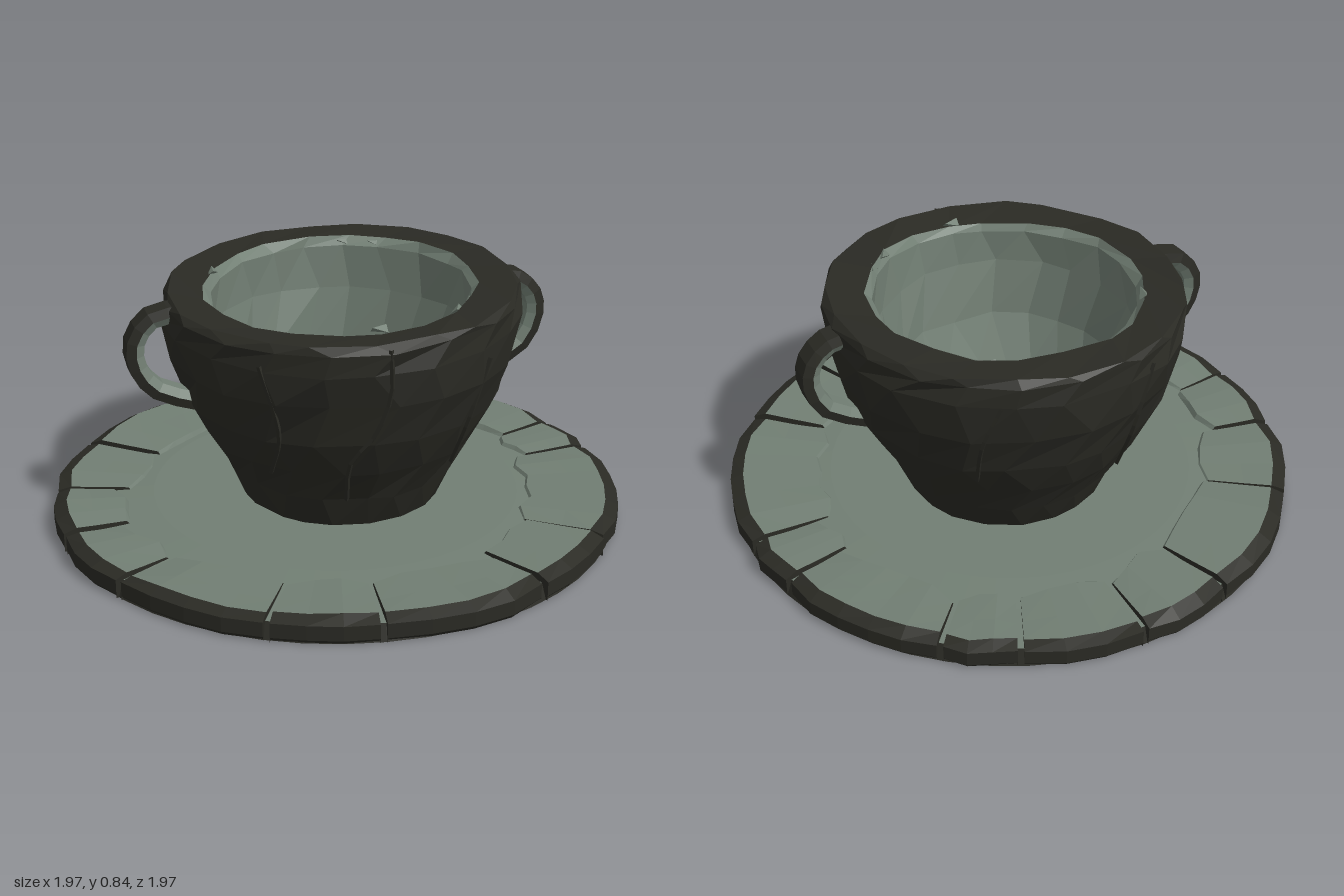
import * as THREE from 'three';

const DARK = 0x2a2a24, SAGE = 0x717e73;
const mat = (color, side = THREE.FrontSide) =>
  new THREE.MeshStandardMaterial({ color, flatShading: true, side });

// small seeded generator, returns -1..1
let seed = 7;
const rnd = () => {
  seed = (seed * 16807) % 2147483647;
  return (seed / 2147483647) * 2 - 1;
};
const polar = (r, a, y, cx = 0, cz = 0) =>
  new THREE.Vector3(cx + r * Math.cos(a), y, cz + r * Math.sin(a));

// skin a list of equally long rows of points
function skin(rows, name, color, closed = false, side = THREE.FrontSide) {
  const n = rows[0].length, pos = [], idx = [];
  rows.forEach(row => row.forEach(p => pos.push(p.x, p.y, p.z)));
  for (let i = 0; i < rows.length - 1; i++)
    for (let j = 0; j < (closed ? n : n - 1); j++) {
      const a = i * n + j, b = i * n + (j + 1) % n, c = a + n, d = b + n;
      idx.push(a, c, b, b, c, d);
    }
  const indexed = new THREE.BufferGeometry();
  indexed.setAttribute('position', new THREE.Float32BufferAttribute(pos, 3));
  indexed.setIndex(idx);
  const geometry = indexed.toNonIndexed();
  geometry.computeVertexNormals();
  const mesh = new THREE.Mesh(geometry, mat(color, side));
  mesh.name = name;
  return mesh;
}

// cup: rough hewn rings around a slightly offset axis
const CX = 0.025, CZ = -0.015, SIDES = 20;
function ring(r, y, wobble, shift = 0) {
  return Array.from({ length: SIDES }, (_, k) => {
    const a = ((k + shift + rnd() * 0.18) / SIDES) * Math.PI * 2;
    const tilt = y > 0.7 ? 0.015 * Math.cos(a) - 0.013 * Math.sin(a) : 0;
    return polar(r + rnd() * wobble, a, y + tilt + rnd() * wobble * 0.6, CX, CZ);
  });
}

function buildCup() {
  const cup = new THREE.Group();
  cup.name = 'cup';
  const wall = [[0.345, 0.075], [0.4, 0.2], [0.475, 0.33], [0.545, 0.46], [0.59, 0.61],
    [0.61, 0.74], [0.607, 0.81], [0.592, 0.833]].map(([r, y], i) =>
    ring(r, y, i ? 0.008 : 0.003, (i % 2) * 0.35));
  const lip = ring(0.468, 0.828, 0.01);
  cup.add(skin([...wall, lip], 'cupWall', DARK, true));
  const inside = [[0.45, 0.8], [0.44, 0.66], [0.4, 0.46], [0.335, 0.3], [0.25, 0.21], [0, 0.19]]
    .map(([r, y], i) => ring(r, y, r ? 0.009 : 0, (i % 2) * 0.35));
  cup.add(skin([lip, ...inside], 'cupInside', SAGE, true));

  // raised cracks running down the wall: [angle, height] points
  const radiusAt = y => 0.345 + 0.267 * Math.sin(Math.min(1, (y - 0.075) / 0.66) * Math.PI / 2 * 0.98);
  const cracks = [
    [[1.61, 0.81], [1.6, 0.66], [1.68, 0.5], [1.8, 0.4], [1.82, 0.22]],
    [[2.3, 0.74], [2.22, 0.5], [2.35, 0.32]],
    [[0.95, 0.7], [1.02, 0.48], [0.98, 0.3]],
    [[-1.1, 0.76], [-1.0, 0.6], [-0.95, 0.42]],
    [[-2.0, 0.78], [-1.92, 0.55], [-1.98, 0.33]],
  ];
  cracks.forEach(points => {
    const path = new THREE.CatmullRomCurve3(points.map(([a, y]) =>
      polar(radiusAt(y) - 0.004, a, y, CX, CZ)));
    const crack = new THREE.Mesh(new THREE.TubeGeometry(path, 10, 0.008, 4), mat(DARK));
    crack.name = 'cupCrack';
    cup.add(crack);
  });

  // broken chips along the inner lip
  [-1.25, -1.0, -0.75, 0.7, 0.9, 1.6, 3.7].forEach(a => {
    const chip = new THREE.Mesh(new THREE.TetrahedronGeometry(0.035), mat(SAGE));
    chip.name = 'lipChip';
    chip.position.copy(polar(0.46, a, 0.825, CX, CZ));
    chip.scale.set(0.6, 0.5, 1.3);
    chip.rotation.y = -a;
    cup.add(chip);
  });
  return cup;
}

// handle: dark outer half and pale inner half swept along a path in the xy plane
function buildHandle(name, points, z) {
  const handle = new THREE.Group();
  handle.name = name;
  const path = new THREE.CatmullRomCurve3(points.map(([x, y]) => new THREE.Vector3(x, y, z)));
  const steps = 10;
  const rail = (out, w) => Array.from({ length: steps + 1 }, (_, k) => {
    const p = path.getPoint(k / steps), t = path.getTangent(k / steps);
    return p.add(new THREE.Vector3(-t.y * out, t.x * out, w));
  });
  const [mBack, oBack, oFront, mFront, iFront, iBack] = [[0, -0.046], [0.033, -0.036],
    [0.033, 0.036], [0, 0.046], [-0.028, 0.028], [-0.028, -0.028]].map(([o, w]) => rail(o, w));
  handle.add(skin([mBack, oBack, oFront, mFront], 'handleOutside', DARK));
  handle.add(skin([mFront, iFront, iBack, mBack], 'handleInside', SAGE));
  return handle;
}

// saucer: a round plate edged with separate stones
function buildStone(start, end, inner) {
  const stone = new THREE.Group();
  stone.name = 'rimStone';
  const a0 = THREE.MathUtils.degToRad(start) + 0.011, a1 = THREE.MathUtils.degToRad(end) - 0.011;
  const n = Math.max(3, Math.round((a1 - a0) / 0.13));
  const lift = rnd() * 0.006;
  const cols = Array.from({ length: n + 1 }, (_, k) => {
    const tip = k === 0 || k === n, a = a0 + (a1 - a0) * k / n;
    const R = 0.989 + rnd() * 0.008 - (tip ? 0.012 : 0);
    const rin = inner + rnd() * 0.02 + (tip ? 0.035 : 0);
    const top = 0.1 + lift + rnd() * 0.003 - (tip ? 0.006 : 0);
    return [[R - 0.012, 0.015], [R, 0.03], [R, 0.08], [R - 0.045, top],
      [(R + rin) / 2, top - 0.004], [rin + 0.015, top - 0.008], [rin, 0.07]]
      .map(([r, y]) => polar(r, a, y));
  });
  const rows = cols[0].map((_, i) => cols.map(c => c[i]));
  stone.add(skin(rows.slice(0, 4), 'stoneEdge', DARK));
  stone.add(skin(rows.slice(3), 'stoneTop', SAGE));
  [cols[0], cols[n]].forEach(c => {
    const foot = c.map(p => new THREE.Vector3(p.x, 0.015, p.z));
    stone.add(skin([c, foot], 'stoneEnd', DARK, false, THREE.DoubleSide));
  });
  return stone;
}

function buildSaucer() {
  const saucer = new THREE.Group();
  saucer.name = 'saucer';
  const disc = (r, y) => Array.from({ length: 48 }, (_, k) => polar(r, k / 24 * Math.PI, y));
  saucer.add(skin([disc(0, 0.015), disc(0.975, 0.015), disc(0.955, 0.07)], 'plateUnderside', DARK, true));
  saucer.add(skin([disc(0.955, 0.07), disc(0.78, 0.074), disc(0.64, 0.083), disc(0, 0.083)],
    'plateTop', SAGE, true));
  // joint angles in degrees and the inner radius of the stone that follows
  const joints = [[-90, 0.68], [-66, 0.7], [-51, 0.72], [-16, 0.7], [-2, 0.66], [41, 0.68], [64, 0.7],
    [98, 0.7], [119, 0.7], [151, 0.74], [173, 0.72], [193, 0.66], [217, 0.66], [250, 0.68]];
  joints.forEach(([a, inner], i) =>
    saucer.add(buildStone(a, i + 1 < joints.length ? joints[i + 1][0] : 270, inner)));
  return saucer;
}

export function createModel() {
  seed = 7;
  const model = new THREE.Group();
  model.name = 'cupAndSaucer';
  model.add(buildSaucer(), buildCup());
  model.add(buildHandle('leftHandle',
    [[0.56, 0.795], [0.655, 0.785], [0.715, 0.73], [0.727, 0.655], [0.68, 0.55], [0.53, 0.465]], -0.015));
  model.add(buildHandle('rightHandle',
    [[-0.48, 0.465], [-0.62, 0.52], [-0.68, 0.6], [-0.687, 0.69], [-0.63, 0.765], [-0.52, 0.78]], -0.015));
  return model;
}
